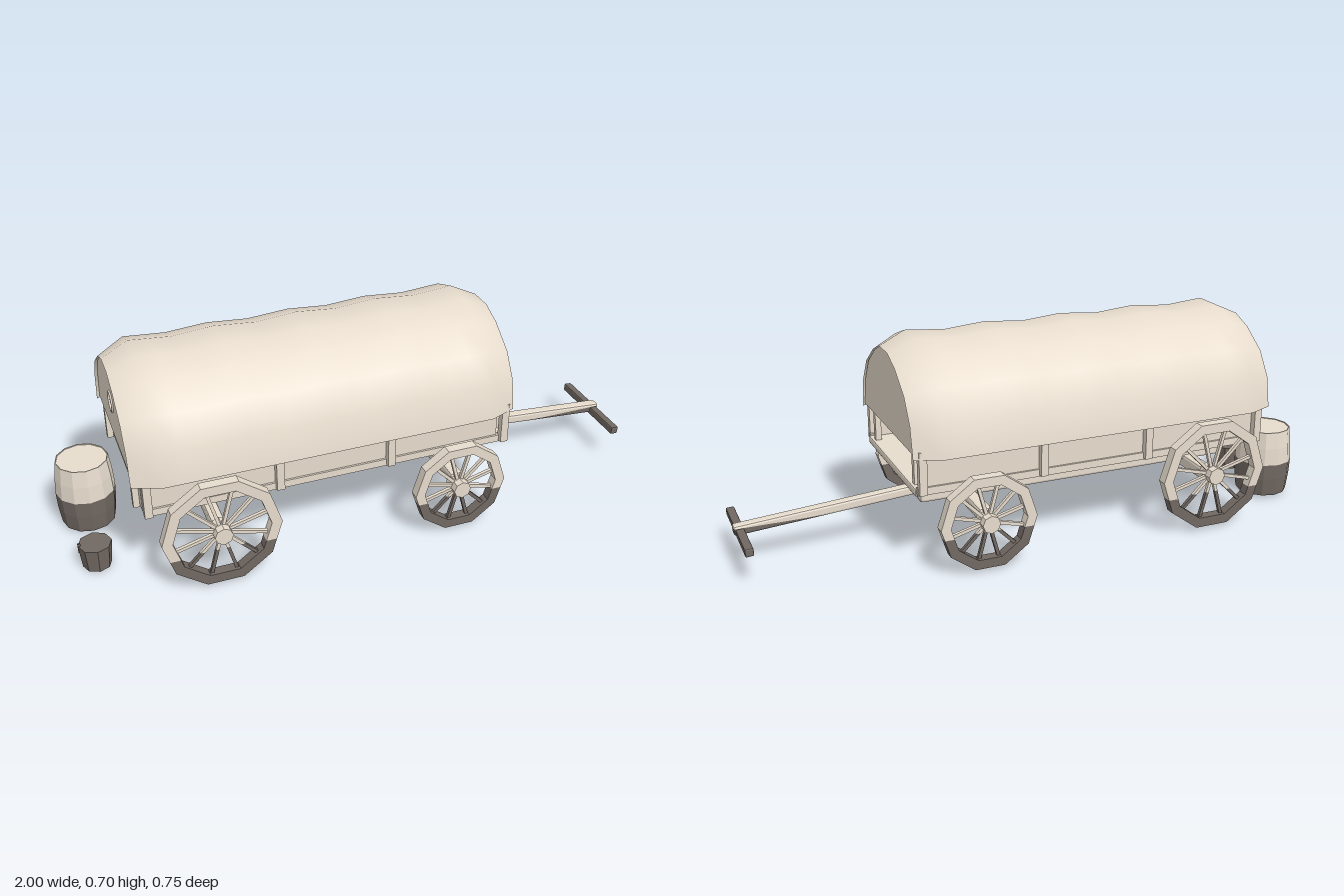
import * as THREE from 'three';
import { RoundedBoxGeometry } from 'three/addons/geometries/RoundedBoxGeometry.js';

const CUT = 0.13; // everything below this height is dark wood

// Keep the part of a triangle above (s = 1) or below (s = -1) the cut height
function clip(tri, s) {
  const out = [];
  tri.forEach((a, i) => {
    const b = tri[(i + 1) % 3];
    const da = s * (a.p.y - CUT), db = s * (b.p.y - CUT);
    if (da >= 0) out.push(a);
    if ((da > 0 && db < 0) || (da < 0 && db > 0)) {
      const t = da / (da - db);
      out.push({ p: a.p.clone().lerp(b.p, t), n: a.n.clone().lerp(b.n, t) });
    }
  });
  return out;
}

// Divide a geometry into light upper, dark lower and blackened underside groups
function paintZones(geo) {
  const g = geo.index ? geo.toNonIndexed() : geo;
  const P = g.attributes.position, N = g.attributes.normal;
  const zones = [[], [], []];
  for (let i = 0; i < P.count; i += 3) {
    const tri = [0, 1, 2].map(k => ({
      p: new THREE.Vector3().fromBufferAttribute(P, i + k),
      n: new THREE.Vector3().fromBufferAttribute(N, i + k),
    }));
    const facesDown = (tri[0].n.y + tri[1].n.y + tri[2].n.y) / 3 < -0.6;
    const polys = facesDown ? [[], [], tri] : [clip(tri, 1), clip(tri, -1), []];
    polys.forEach((poly, z) => {
      for (let k = 1; k + 1 < poly.length; k++) zones[z].push(poly[0], poly[k], poly[k + 1]);
    });
  }
  const all = zones.flat();
  const out = new THREE.BufferGeometry();
  out.setAttribute('position', new THREE.Float32BufferAttribute(all.flatMap(v => v.p.toArray()), 3));
  out.setAttribute('normal', new THREE.Float32BufferAttribute(all.flatMap(v => v.n.toArray()), 3));
  let start = 0;
  zones.forEach((zone, i) => {
    if (zone.length) out.addGroup(start, zone.length, i);
    start += zone.length;
  });
  return out;
}

function flat(geo) {
  const g = geo.index ? geo.toNonIndexed() : geo;
  g.computeVertexNormals();
  return g;
}

// Box given by its limits on each axis
function box(x0, x1, y0, y1, z0, z1) {
  return new THREE.BoxGeometry(x1 - x0, y1 - y0, z1 - z0)
    .translate((x0 + x1) / 2, (y0 + y1) / 2, (z0 + z1) / 2);
}

// Timber with chamfered edges
function timber(w, h, d, chamfer) {
  return flat(new RoundedBoxGeometry(w, h, d, 1, chamfer));
}

// Half arch outlines as [z, y]: full size and drawn-in end
const FULL = [[0.316, 0.38], [0.297, 0.497], [0.242, 0.592], [0.157, 0.662], [0.056, 0.699]];
const END = [[0.28, 0.38], [0.26, 0.483], [0.209, 0.563], [0.119, 0.628], [0.044, 0.658]];

function archSection(t, sag) {
  const half = END.map(([z, y], i) => [
    THREE.MathUtils.lerp(z, FULL[i][0], t),
    THREE.MathUtils.lerp(y, FULL[i][1], t) - sag * (y - 0.38) / 0.28]);
  return [...half, ...half.slice().reverse().map(([z, y]) => [-z, y])];
}

// Canvas: arch sections lofted along x, sagging between the hoops
function canvasGeometry() {
  const rows = [[-0.81, 0, 0]];
  for (let i = 0; i <= 16; i++) {
    rows.push([-0.72 + i * 1.11 / 16, 1, 0.006 * (1 - Math.cos(i * Math.PI / 2))]);
  }
  rows.push([0.48, 0, 0]);
  const pos = [], idx = [], n = 10;
  rows.forEach(([x, t, sag], i) => {
    archSection(t, sag).forEach(([z, y], j) => {
      pos.push(x, y, z);
      if (i < rows.length - 1 && j < n - 1) {
        const a = i * n + j;
        idx.push(a, a + n, a + 1, a + 1, a + n, a + n + 1);
      }
    });
  });
  const g = new THREE.BufferGeometry();
  g.setAttribute('position', new THREE.Float32BufferAttribute(pos, 3));
  g.setIndex(idx);
  g.computeVertexNormals();
  return g;
}

function ringPoints(r) {
  return Array.from({ length: 10 }, (_, i) =>
    new THREE.Vector2(r * Math.cos(i * Math.PI / 5), r * Math.sin(i * Math.PI / 5)));
}

export function createModel() {
  const paint = (name, color) => {
    const m = new THREE.MeshStandardMaterial({ color, side: THREE.DoubleSide });
    m.name = name;
    return m;
  };
  const materials = [paint('pale canvas and wood', 0xe9decf), paint('dark wood', 0x716862),
    paint('blackened underside', 0x504b48)];

  const model = new THREE.Group();
  model.name = 'coveredWagon';
  const add = (name, geo) => {
    const mesh = new THREE.Mesh(paintZones(geo), materials);
    mesh.name = name;
    model.add(mesh);
  };

  // Cover with a closed panel at each end
  add('canvasCover', canvasGeometry());
  for (const [name, x] of [['frontCurtain', 0.466], ['rearCurtain', -0.8]]) {
    const shape = new THREE.Shape(archSection(0, 0).map(([z, y]) => new THREE.Vector2(z, Math.max(y, 0.388))));
    add(name, new THREE.ExtrudeGeometry(shape, { depth: 0.006, bevelEnabled: false })
      .rotateY(Math.PI / 2).translate(x, 0, 0));
  }
  add('rearCurtainRing', new THREE.TorusGeometry(0.032, 0.005, 6, 12)
    .rotateY(Math.PI / 2).translate(-0.801, 0.525, 0));

  // Wagon bed
  add('floor', timber(1.245, 0.027, 0.52, 0.006).translate(-0.1525, 0.2615, 0));
  add('tailboard', box(-0.78, -0.76, 0.275, 0.39, -0.265, 0.265));
  for (const s of [-1, 1]) {
    const sideBox = (name, x0, x1, y0, y1, z, w) =>
      add(name, box(x0, x1, y0, y1, s * z - w / 2, s * z + w / 2));
    sideBox('sideWall', -0.77, 0.43, 0.275, 0.39, 0.256, 0.018);
    sideBox('lowerRail', -0.765, 0.465, 0.255, 0.28, 0.263, 0.018);
    for (const x of [-0.765, -0.34, 0.04, 0.45]) {
      sideBox('sideStake', x - 0.013, x + 0.013, 0.26, 0.404, 0.276, 0.024);
    }
    for (const x of [-0.79, 0.45]) {
      sideBox('endStake', x - 0.01, x + 0.01, 0.265, 0.39, 0.213, 0.022);
    }
    add('underBeam', timber(1.11, 0.056, 0.045, 0.009).translate(-0.125, 0.218, s * 0.164));
  }

  // Axles and wheels
  for (const [name, x, y, r, rim] of [['rear', -0.555, 0.195, 0.194, 0.035], ['front', 0.26, 0.165, 0.162, 0.033]]) {
    const axleY = name === 'rear' ? 0.185 : 0.178;
    add(name + 'Axle', timber(0.044, 0.046, 0.65, 0.009).translate(x, axleY, 0));
    for (const s of [-1, 1]) {
      const z = s * 0.3425;
      const shape = new THREE.Shape(ringPoints(r));
      shape.holes.push(new THREE.Path(ringPoints(r - rim)));
      add(name + 'WheelRim', new THREE.ExtrudeGeometry(shape, { depth: 0.035, bevelEnabled: false })
        .translate(x, y, z - 0.0175));
      add(name + 'WheelHub', flat(new THREE.CylinderGeometry(0.03, 0.03, 0.066, 8)
        .rotateX(Math.PI / 2).translate(x, y, z)));
      for (let i = 0; i < 12; i++) {
        add(name + 'WheelSpoke', new THREE.BoxGeometry(r - rim - 0.015, 0.011, 0.012)
          .translate((r - rim + 0.025) / 2, 0, 0)
          .rotateZ((i + 0.5) * Math.PI / 6).translate(x, y, z));
      }
    }
  }

  // Draw tongue and its crossbar
  add('tongue', timber(0.73, 0.034, 0.038, 0.008).rotateZ(-0.073).translate(0.632, 0.148, 0));
  add('tongueCrossbar', timber(0.028, 0.028, 0.344, 0.005).rotateZ(-0.073).translate(0.976, 0.1145, 0));

  // Barrel
  const barrel = [[0, 0.01], [0.09, 0.01], [0.092, 0.022], [0.098, 0.075], [0.1, 0.13],
    [0.096, 0.19], [0.088, 0.25], [0.085, 0.25], [0.085, 0.247], [0, 0.247]];
  add('barrel', flat(new THREE.LatheGeometry(barrel.map(p => new THREE.Vector2(...p)), 12)
    .translate(-0.903, 0, -0.137)));

  // Bucket with a small handle
  const bucket = [[0, 0], [0.047, 0], [0.055, 0.085], [0, 0.085]];
  add('bucket', flat(new THREE.LatheGeometry(bucket.map(p => new THREE.Vector2(...p)), 8)
    .translate(-0.922, 0, 0.116)));
  add('bucketHandle', box(-0.977, -0.968, 0.06, 0.094, 0.113, 0.119));

  return model;
}
